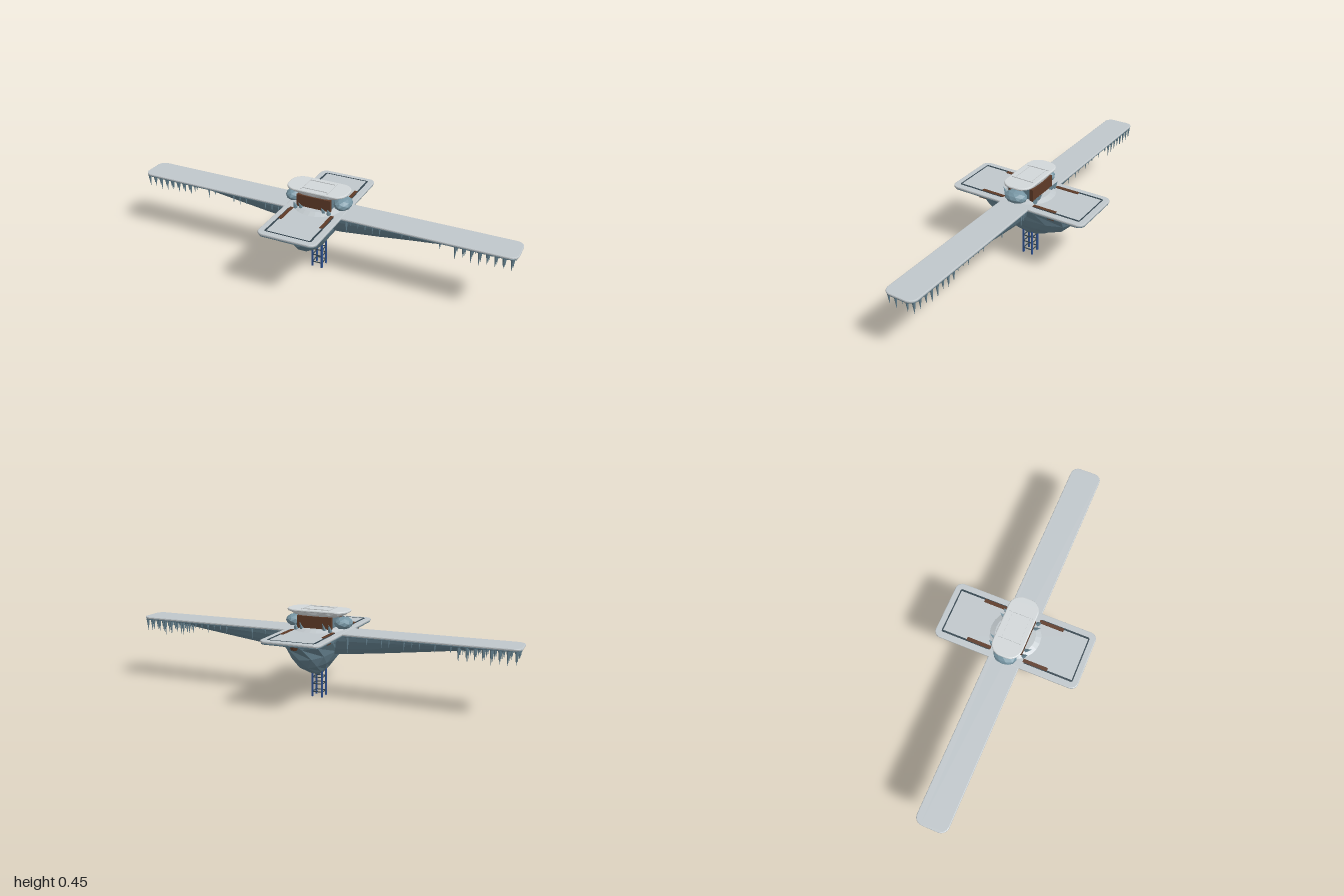
import * as THREE from 'three';

const mat = (name, color, side = THREE.FrontSide) => {
  const m = new THREE.MeshStandardMaterial({ color, side, flatShading: true });
  m.name = name;
  return m;
};

// Rounded slab lying flat: half sizes hx, hz, from y0 to y1, bevelled edge b
function slabGeometry(hx, hz, r, y0, y1, b) {
  const x = hx - b, z = hz - b, q = r - b, s = new THREE.Shape();
  s.moveTo(-x + q, -z);
  s.lineTo(x - q, -z).absarc(x - q, -z + q, q, -Math.PI / 2, 0);
  s.lineTo(x, z - q).absarc(x - q, z - q, q, 0, Math.PI / 2);
  s.lineTo(-x + q, z).absarc(-x + q, z - q, q, Math.PI / 2, Math.PI);
  s.lineTo(-x, -z + q).absarc(-x + q, -z + q, q, Math.PI, Math.PI * 1.5);
  const g = new THREE.ExtrudeGeometry(s, {
    depth: y1 - y0 - 2 * b, bevelEnabled: true, bevelSize: b, bevelThickness: b, bevelSegments: 2, curveSegments: 6,
  });
  return g.rotateX(-Math.PI / 2).translate(0, y0 + b, 0);
}

// Skin through rings of points, closed with a fan at each end
function loft(rings) {
  const p = [], n = rings[0].length;
  const tri = (...v) => v.forEach((a) => p.push(...a));
  for (let i = 0; i + 1 < rings.length; i++) {
    for (let j = 0; j < n; j++) {
      const k = (j + 1) % n, a = rings[i], b = rings[i + 1];
      tri(a[j], a[k], b[j]);
      tri(a[k], b[k], b[j]);
    }
  }
  for (let j = 1; j + 1 < n; j++) {
    const a = rings[0], b = rings[rings.length - 1];
    tri(a[0], a[j + 1], a[j]);
    tri(b[0], b[j], b[j + 1]);
  }
  const g = new THREE.BufferGeometry();
  g.setAttribute('position', new THREE.Float32BufferAttribute(p, 3));
  g.computeVertexNormals();
  return g;
}

// Horizontal squarish ring of n points
const flatRing = (y, hx, hz, n, power, shift = 0) => Array.from({ length: n }, (_, j) => {
  const a = (j + shift) / n * Math.PI * 2;
  const f = (v) => Math.sign(v) * Math.abs(v) ** power;
  return [f(Math.cos(a)) * hx, y, f(Math.sin(a)) * hz];
});

export function createModel() {
  const root = new THREE.Group();
  root.name = 'icePlatform';
  const snow = mat('snow', 0xc0c7cb);
  const brightSnow = mat('brightSnow', 0xd2d7d9, THREE.DoubleSide);
  const rock = mat('rock', 0x658290, THREE.DoubleSide);
  const ice = mat('ice', 0x7796a4);
  const wood = mat('wood', 0x5e3a27);
  const blue = mat('blueMetal', 0x2f5496);
  const iron = mat('iron', 0x34454f);
  const add = (name, geo, m, x = 0, y = 0, z = 0) => {
    const o = new THREE.Mesh(geo, m);
    o.name = name;
    o.position.set(x, y, z);
    root.add(o);
    return o;
  };
  const box = (name, w, h, d, m, x, y, z) => add(name, new THREE.BoxGeometry(w, h, d), m, x, y, z);
  let seed = 7;
  const rand = () => (seed = (seed * 16807) % 2147483647) / 2147483647;

  // Crossed decks: snow above, icy rock below
  add('longDeck', slabGeometry(1, 0.08, 0.04, 0.337, 0.348, 0.004), snow);
  add('longDeckRim', slabGeometry(0.997, 0.078, 0.04, 0.332, 0.339, 0.003), rock);
  add('crossDeck', slabGeometry(0.153, 0.372, 0.035, 0.337, 0.349, 0.004), snow);
  add('crossDeckRim', slabGeometry(0.15, 0.37, 0.035, 0.331, 0.339, 0.003), rock);

  // Faceted keel: rings [y, half width, half length]
  const keel = [[0.334, 0.125, 0.318], [0.3, 0.115, 0.298], [0.24, 0.092, 0.246],
    [0.19, 0.068, 0.198], [0.144, 0.036, 0.102], [0.119, 0.014, 0.03]];
  add('keel', loft(keel.map(([y, hx, hz], i) => flatRing(y, hx, hz, 12, 0.85, (i % 2) * 0.5))), rock);

  // Tapering rock under each arm: sections [x, half width, lowest y]
  const arm = [[0.04, 0.06, 0.225], [0.13, 0.058, 0.23], [0.3, 0.056, 0.249], [0.5, 0.054, 0.274],
    [0.72, 0.052, 0.302], [0.9, 0.048, 0.324], [0.985, 0.045, 0.333]];
  const bullet = [[1, 0], [0.9, 0.3], [0.55, 0.7], [0.14, 1], [-0.14, 1], [-0.55, 0.7], [-0.9, 0.3], [-1, 0]];
  for (const s of [-1, 1]) {
    add('armRock', loft(arm.map(([x, w, low]) => {
      const ring = bullet.map(([z, d]) => [s * x, 0.336 - d * (0.336 - low), z * w]);
      return s > 0 ? ring : ring.reverse();
    })), rock);
  }

  // Icicles: long rows near the tips, short ones toward the middle
  const icicle = (x, z, len, r) => {
    const g = new THREE.ConeGeometry(r, len, 6).rotateX(Math.PI);
    add('icicle', g, rock, x, 0.336 - len / 2, z);
  };
  for (const s of [-1, 1]) {
    for (let i = 0; i < 23; i++) {
      const x = 0.16 + i * 0.0371, tip = x > 0.7;
      for (const z of tip ? [-0.066, -0.03, 0.03, 0.066] : [-0.062, 0.062]) {
        if (!tip && rand() < 0.4) continue;
        icicle(s * x, z, tip ? 0.055 + 0.025 * rand() : 0.025 + 0.035 * rand(), tip ? 0.009 : 0.006);
      }
    }
    for (const z of [-0.053, 0.053]) icicle(s * 0.17, z, 0.088, 0.01);
  }

  // Deck rails, planks, hanging steps and end brackets
  for (const s of [-1, 1]) {
    for (const t of [-1, 1]) {
      box('sideRail', 0.009, 0.004, 0.245, iron, s * 0.117, 0.3485, t * 0.215);
      box('plank', 0.018, 0.004, 0.125, wood, s * 0.109, 0.35, t * 0.147);
      box('hangingStep', 0.012, 0.005, 0.04, wood, s * 0.128, 0.32, t * 0.195);
      box('stepHanger', 0.005, 0.012, 0.01, rock, s * 0.128, 0.328, t * 0.195);
    }
    box('endRail', 0.235, 0.003, 0.006, iron, 0, 0.3485, s * 0.339);
    const b = add('endBracket', new THREE.CylinderGeometry(0.03, 0.015, 0.03, 6), wood, 0, 0.316, s * 0.301);
    b.scale.z = 0.5;
  }

  // Low round mound under the cabin
  add('mound', new THREE.CylinderGeometry(0.1, 0.13, 0.013, 24), snow, 0, 0.354, 0);

  // Cabin core with wooden front and back walls
  box('cabinCore', 0.17, 0.065, 0.105, rock, 0, 0.388, 0);
  for (const s of [-1, 1]) {
    box('woodenWall', 0.18, 0.064, 0.02, wood, 0, 0.388, s * 0.06);
    // Faceted ice boulders at both ends
    const lobe = add('iceBoulder', new THREE.IcosahedronGeometry(1, 1), ice, s * 0.13, 0.386, 0);
    lobe.scale.set(0.045, 0.031, 0.06);
    // Ice crystals leaning away from the walls
    for (const [x, len, lean] of [[-0.09, 0.045, 0.5], [-0.06, 0.062, 0.6], [0.06, 0.058, 0.6], [0.09, 0.04, 0.45]]) {
      const c = add('crystal', new THREE.ConeGeometry(0.012, len, 5), ice, x, 0.374, s * 0.09);
      c.rotation.x = s * lean;
    }
  }

  // Snowy roof: faceted underside, rounded slab and raised frame
  add('roofUnderside', loft([[0.441, 0.155, 0.074], [0.427, 0.14, 0.07], [0.413, 0.1, 0.058]]
    .map(([y, hx, hz], i) => flatRing(y, hx, hz, 14, 0.7, i * 0.5))), brightSnow);
  add('roof', slabGeometry(0.16, 0.076, 0.062, 0.438, 0.45, 0.005), brightSnow);
  for (const s of [-1, 1]) {
    box('roofFrameSide', 0.007, 0.005, 0.12, brightSnow, s * 0.07, 0.451, 0);
    box('roofFrameEnd', 0.147, 0.005, 0.007, brightSnow, 0, 0.451, s * 0.045);
  }

  // Ladder tower under the keel
  for (const x of [-0.026, 0.026]) {
    for (const z of [-0.025, 0.025]) box('ladderPost', 0.008, 0.14, 0.008, blue, x, 0.07, z);
    for (const y of [0.026, 0.068, 0.102]) {
      box('ladderRung', 0.004, 0.004, 0.05, iron, x, y, 0);
      box('ladderCrossRung', 0.05, 0.004, 0.004, iron, 0, y, Math.sign(x) * 0.025);
    }
  }
  return root;
}
